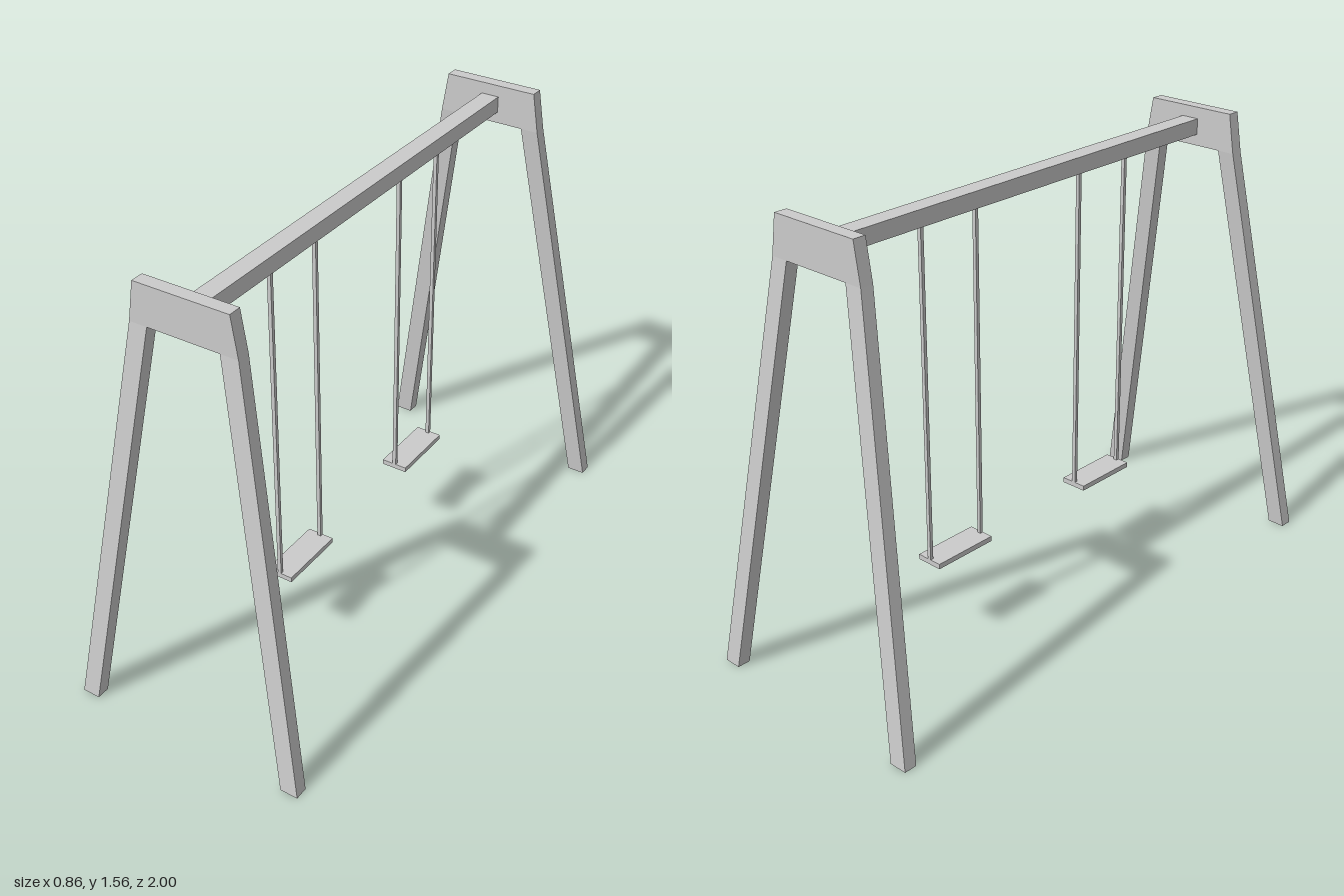
import * as THREE from 'three';

const material = new THREE.MeshStandardMaterial({ color: 0xcccccc, flatShading: true });

const PLATE_BOTTOM = 1.425, TOP = 1.56;
const Z_INNER = 0.828, THICK = 0.045, SPLAY = 0.124;

function addMesh(parent, name, geometry) {
  const mesh = new THREE.Mesh(geometry, material);
  mesh.name = name;
  parent.add(mesh);
  return mesh;
}

function addBox(parent, name, [w, h, d], [x, y, z]) {
  addMesh(parent, name, new THREE.BoxGeometry(w, h, d)).position.set(x, y, z);
}

// Flat board cut from an outline in the xy plane
function board(points) {
  const shape = new THREE.Shape(points.map(([x, y]) => new THREE.Vector2(x, y)));
  return new THREE.ExtrudeGeometry(shape, { depth: THICK, bevelEnabled: false })
    .translate(0, 0, Z_INNER);
}

// End frame: upright plate with two legs that splay sideways and outward
function createEndFrame(name) {
  const frame = new THREE.Group();
  frame.name = name;
  addMesh(frame, 'topPlate', board([
    [-0.187, PLATE_BOTTOM], [0.187, PLATE_BOTTOM], [0.165, TOP], [-0.165, TOP],
  ]));
  for (const s of [1, -1]) {
    const leg = board([
      [s * 0.361, 0], [s * 0.423, 0], [s * 0.187, PLATE_BOTTOM], [s * 0.125, PLATE_BOTTOM],
    ]);
    // Lean the leg outward toward its foot
    const p = leg.attributes.position;
    for (let i = 0; i < p.count; i++) {
      p.setZ(i, p.getZ(i) + SPLAY * (1 - p.getY(i) / PLATE_BOTTOM));
    }
    leg.computeVertexNormals();
    addMesh(frame, s > 0 ? 'leftLeg' : 'rightLeg', leg);
  }
  return frame;
}

// Swing: seat with a shallow hollow underside, hung on two rods
function createSwing(name) {
  const swing = new THREE.Group();
  swing.name = name;
  const w = 0.094, d = 0.242, rim = 0.008;
  addBox(swing, 'seatTop', [w, 0.008, d], [0, 0.317, 0]);
  for (const s of [1, -1]) {
    addBox(swing, 'seatSideRim', [rim, 0.011, d], [s * (w - rim) / 2, 0.3085, 0]);
    addBox(swing, 'seatEndRim', [w - 2 * rim, 0.011, rim], [0, 0.3085, s * (d - rim) / 2]);
    addBox(swing, 'hangingRod', [0.013, 1.155, 0.012], [0, 0.8975, s * 0.115]);
  }
  return swing;
}

export function createModel() {
  const model = new THREE.Group();
  model.name = 'swingSet';

  const front = createEndFrame('frontFrame');
  const back = createEndFrame('backFrame');
  back.rotation.y = Math.PI;
  model.add(front, back);

  addBox(model, 'crossBeam', [0.064, 0.056, 2 * Z_INNER], [0, 1.492, 0]);

  for (const s of [1, -1]) {
    const swing = createSwing(s > 0 ? 'frontSwing' : 'backSwing');
    swing.position.z = s * 0.355;
    model.add(swing);
  }

  // The whole set stands very slightly turned
  model.rotation.y = 0.0065;
  return model;
}
